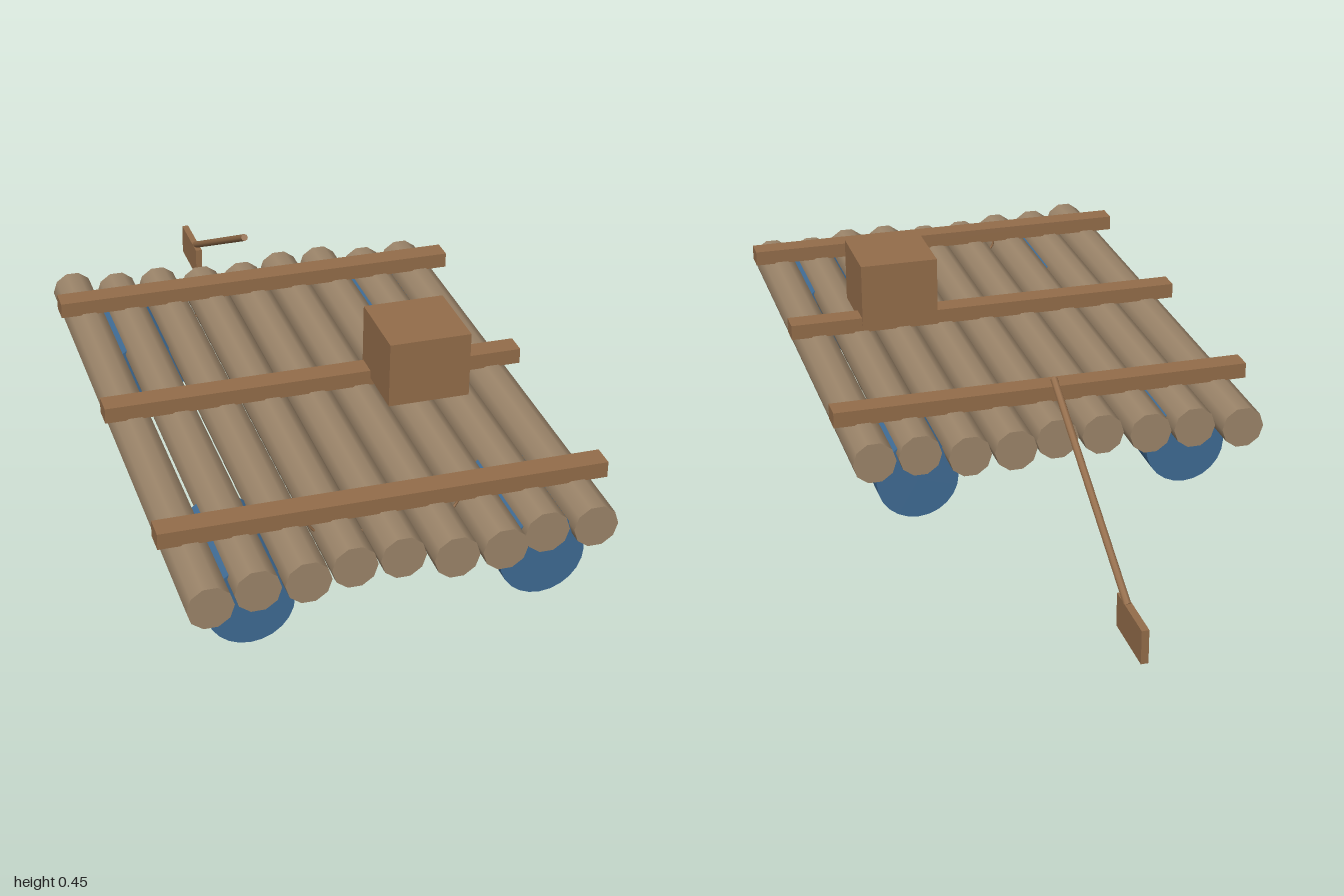
import * as THREE from 'three';

const mat = (name, color) => {
  const m = new THREE.MeshStandardMaterial({ color });
  m.name = name;
  return m;
};

export function createModel() {
  const raft = new THREE.Group();
  raft.name = 'raft';
  const logWood = mat('log wood', 0x9c856a);
  const plankWood = mat('plank wood', 0x946d4a);
  const barrelBlue = mat('barrel blue', 0x3f6b94);

  const add = (name, geometry, material, x, y, z) => {
    const mesh = new THREE.Mesh(geometry, material);
    mesh.name = name;
    mesh.position.set(x, y, z);
    raft.add(mesh);
    return mesh;
  };

  // Deck logs of uneven length, with a flat facet on top
  const lengths = [1.43, 1.37, 1.37, 1.32, 1.31, 1.37, 1.37, 1.3, 1.316];
  lengths.forEach((length, i) => {
    const log = new THREE.CylinderGeometry(0.051, 0.051, length, 10);
    log.rotateY(Math.PI / 10).rotateX(Math.PI / 2);
    add('deckLog', log, logWood, (i - 4) * 0.1087, 0.225, 0.285);
  });

  // Floating barrels under the corners
  const barrel = new THREE.CylinderGeometry(0.097, 0.097, 0.275, 24).rotateX(Math.PI / 2);
  for (const x of [-0.327, 0.327]) {
    for (const z of [0.775, -0.2]) add('barrel', barrel, barrelBlue, x, 0.151, z);
  }

  // Cross beams
  const beam = new THREE.BoxGeometry(1.01, 0.038, 0.054);
  for (const z of [0.805, 0.285, -0.235]) add('crossBeam', beam, plankWood, 0, 0.289, z);

  // Crate
  add('crate', new THREE.BoxGeometry(0.195, 0.16, 0.195), plankWood, 0.227, 0.369, 0.35);

  // Lashing slung below the front and rear beams, mostly hidden between the logs
  for (const [half, z] of [[0.17, 0.805], [0.353, -0.235]]) {
    const path = new THREE.CatmullRomCurve3([
      [-half, 0.275], [-half + 0.004, 0.247], [-half + 0.03, 0.226],
      [half - 0.03, 0.226], [half - 0.004, 0.247], [half, 0.275],
    ].map(([x, y]) => new THREE.Vector3(x, y, 0)));
    add('lashing', new THREE.TubeGeometry(path, 32, 0.003, 6), plankWood, 0, 0, z);
  }

  // Steering paddle
  const top = new THREE.Vector3(0, 0.363, -0.335);
  const bottom = new THREE.Vector3(0, 0.075, -0.885);
  const along = top.clone().sub(bottom);
  const shaft = add('paddleShaft', new THREE.CylinderGeometry(0.009, 0.009, along.length(), 8),
    plankWood, 0, 0, 0);
  shaft.position.copy(top).add(bottom).multiplyScalar(0.5);
  shaft.quaternion.setFromUnitVectors(new THREE.Vector3(0, 1, 0), along.normalize());
  add('paddleBlade', new THREE.BoxGeometry(0.017, 0.081, 0.163), plankWood, 0, 0.0405, -0.9185);

  return raft;
}
